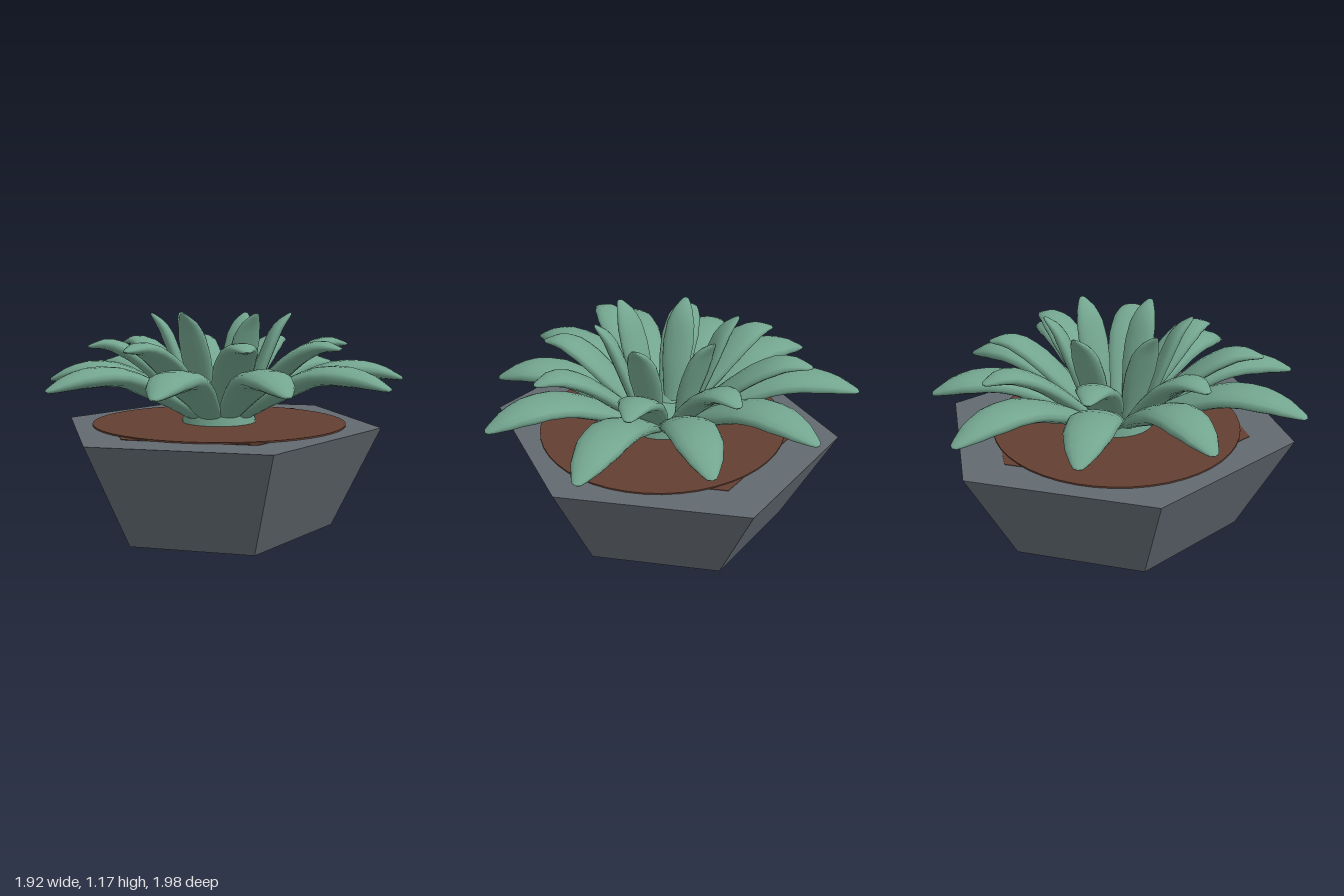
import * as THREE from 'three';

const CX = -0.05, CZ = -0.01; // axis of pot and plant

// Width of a leaf along its length (fraction of length, fraction of full width)
const PROFILE = [[0, 0.5], [0.2, 0.7], [0.4, 0.92], [0.58, 1], [0.75, 0.9], [0.88, 0.62], [0.96, 0.32], [0.99, 0.18], [1, 0]];

function widthAt(t) {
  for (let i = 1; i < PROFILE.length; i++) {
    const [t0, w0] = PROFILE[i - 1], [t1, w1] = PROFILE[i];
    if (t <= t1) return w0 + (w1 - w0) * (t - t0) / (t1 - t0);
  }
  return 0;
}

// Fleshy leaf: elliptical cross-sections swept along a spine of [radius, height] points
function leafGeometry(spine, length, halfWidth, halfThick) {
  const sides = 14;
  const curve = new THREE.CatmullRomCurve3(spine.map(([r, y]) => new THREE.Vector3(0, y, r * length)));
  const steps = [0, 0.1, 0.2, 0.3, 0.4, 0.5, 0.58, 0.67, 0.75, 0.82, 0.88, 0.92, 0.96, 0.99, 1];
  const pos = [], index = [];
  steps.forEach((t, i) => {
    const p = curve.getPointAt(t), d = curve.getTangentAt(t), w = widthAt(t);
    for (let j = 0; j < sides; j++) {
      const a = j / sides * Math.PI * 2;
      const h = Math.sin(a) * halfThick * Math.min(1, w * 1.15);
      pos.push(Math.cos(a) * halfWidth * w, p.y + d.z * h, p.z - d.y * h);
      if (i > 0) {
        const k = (j + 1) % sides, lo = (i - 1) * sides, hi = i * sides;
        index.push(lo + j, lo + k, hi + k, lo + j, hi + k, hi + j);
      }
    }
  });
  const g = new THREE.BufferGeometry();
  g.setAttribute('position', new THREE.Float32BufferAttribute(pos, 3));
  g.setIndex(index);
  g.computeVertexNormals();
  return g;
}

// Each tier: spine for a leaf of unit length factor, nominal reach, and the leaf tips as [x, z]
const TIERS = [
  {
    name: 'outerLeaf', reach: 1.0, halfWidth: 0.13, halfThick: 0.05,
    spine: [[0.14, 0.6], [0.38, 0.745], [0.62, 0.85], [0.82, 0.85], [1.0, 0.8]],
    tips: [[0.01, -0.99], [0.56, -0.74], [0.96, -0.28], [0.9, 0.38], [0.45, 0.77],
      [-0.11, 0.99], [-0.71, 0.8], [-0.96, 0.23], [-0.94, -0.39], [-0.62, -0.91]],
  },
  {
    name: 'middleLeaf', reach: 0.73, halfWidth: 0.11, halfThick: 0.04,
    spine: [[0.13, 0.6], [0.3, 0.78], [0.48, 0.94], [0.61, 1.0], [0.73, 0.99]],
    tips: [[0.22, -0.66], [0.64, -0.32], [0.65, 0.27], [0.23, 0.61],
      [-0.34, 0.71], [-0.71, 0.28], [-0.71, -0.3], [-0.37, -0.74]],
  },
  {
    name: 'innerLeaf', reach: 0.38, halfWidth: 0.09, halfThick: 0.035,
    spine: [[0.14, 0.6], [0.19, 0.78], [0.25, 0.95], [0.31, 1.09], [0.38, 1.17]],
    tips: [[0.03, -0.38], [0.34, -0.12], [0.21, 0.25], [-0.15, 0.38], [-0.41, 0.1], [-0.35, -0.29]],
  },
];

export function createModel() {
  const model = new THREE.Group();
  model.name = 'pottedSucculent';

  const mat = (name, color) => {
    const m = new THREE.MeshStandardMaterial({ color });
    m.name = name;
    return m;
  };
  const potGrey = mat('slateGrey', 0x626a71);
  const soilBrown = mat('soilBrown', 0x633f32);
  const leafGreen = mat('leafGreen', 0x73a58f);

  const add = (parent, geometry, material, name) => {
    const mesh = new THREE.Mesh(geometry, material);
    mesh.name = name;
    parent.add(mesh);
    return mesh;
  };

  // Hexagonal prism with corners on the x axis
  const hexagon = (rTop, rBottom, y0, y1) => {
    const g = new THREE.CylinderGeometry(rTop, rBottom, y1 - y0, 6, 1, false, Math.PI / 6).toNonIndexed();
    g.scale(0.9, 1, 1);
    g.translate(CX, (y0 + y1) / 2, CZ);
    g.computeVertexNormals();
    return g;
  };

  // Pot and soil
  add(model, hexagon(1, 0.714, 0, 0.555), potGrey, 'pot');
  add(model, hexagon(0.757, 0.757, 0.55, 0.558), soilBrown, 'soilBed');
  const soil = add(model, new THREE.CylinderGeometry(0.71, 0.71, 0.008, 48), soilBrown, 'soilDisc');
  soil.scale.z = 0.96;
  soil.position.set(CX, 0.56, CZ);

  // Plant: short stem with three tiers of leaves
  const plant = new THREE.Group();
  plant.name = 'plant';
  plant.position.set(CX, 0, CZ);
  model.add(plant);

  add(plant, new THREE.CylinderGeometry(0.2, 0.21, 0.06, 24), leafGreen, 'stem').position.y = 0.585;

  for (const tier of TIERS) {
    tier.tips.forEach(([x, z], i) => {
      const dx = x - CX, dz = z - CZ;
      const g = leafGeometry(tier.spine, Math.hypot(dx, dz) / tier.reach, tier.halfWidth, tier.halfThick);
      add(plant, g, leafGreen, `${tier.name}${i + 1}`).rotation.y = Math.atan2(dx, dz);
    });
  }
  return model;
}
